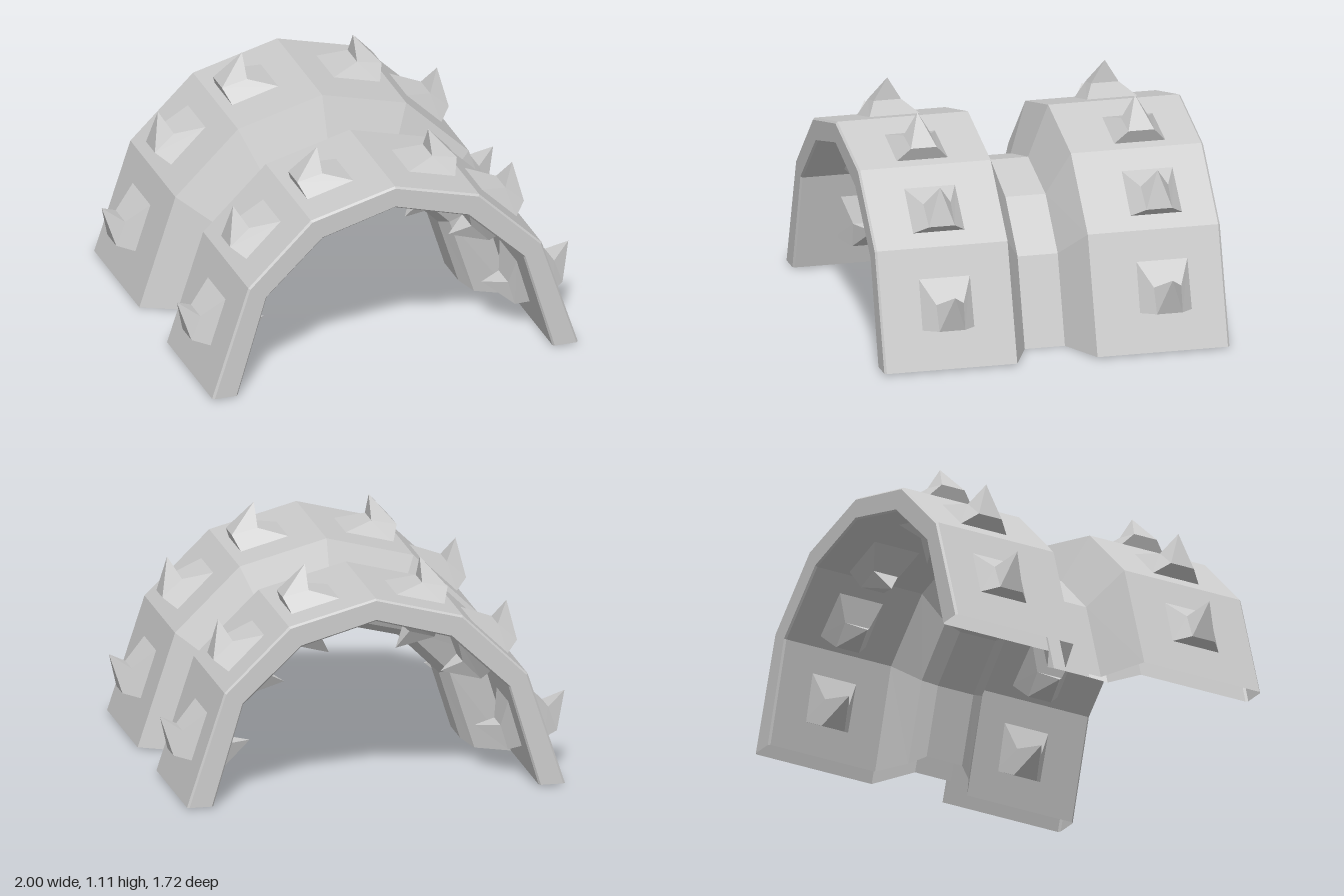
import * as THREE from 'three';

const material = new THREE.MeshStandardMaterial({
  color: 0xcccccc, flatShading: true, side: THREE.DoubleSide,
});

// Half arches from the foot up to the crown: [x, y]
const WIDE_OUTER = [[0.935, 0.012], [0.75, 0.575], [0.43, 0.887], [0, 1]];
const WIDE_INNER = [[0.805, 0.012], [0.657, 0.513], [0.37, 0.784], [0, 0.888]];
const NECK_OUTER = [[0.697, 0.004], [0.56, 0.43], [0.33, 0.66], [0, 0.745]];
const NECK_SHOULDER = [[0.645, 0.012], [0.52, 0.405], [0.3, 0.625], [0, 0.7]];
const NECK_INNER = [[0.59, 0.045], [0.485, 0.38], [0.28, 0.585], [0, 0.655]];

const fullArch = (half) => [...half, ...half.slice(0, -1).reverse().map(([x, y]) => [-x, y])];

// Non-indexed geometry from a list of quads and triangles
function fromFaces(faces) {
  const out = [];
  for (const f of faces) {
    for (let i = 1; i < f.length - 1; i++) out.push(...f[0], ...f[i], ...f[i + 1]);
  }
  const geometry = new THREE.BufferGeometry();
  geometry.setAttribute('position', new THREE.Float32BufferAttribute(out, 3));
  geometry.computeVertexNormals();
  return geometry;
}

// Hollow double wall, open at the feet: a closed ring of stations along z, carried round the arch
function shellGeometry() {
  const outer = fullArch(WIDE_OUTER);
  const inner = fullArch(WIDE_INNER);
  const blend = (t) => outer.map(([x, y], a) => [
    x + (inner[a][0] - x) * t, y + (inner[a][1] - y) * t,
  ]);
  const outside = [[0.86, blend(0.08)], [0.85, outer], [0.2, outer], [0.1, fullArch(NECK_OUTER)]];
  const inside = [
    [0.86, blend(0.93)], [0.85, inner], [0.26, inner],
    [0.17, fullArch(NECK_SHOULDER)], [0.1, fullArch(NECK_INNER)],
  ];
  const flip = (list) => list.map(([z, arch]) => [-z, arch]);
  const ring = [
    ...flip(outside), ...[...outside].reverse(),
    ...inside, ...flip(inside).reverse(),
  ];
  const P = (a, k) => {
    const [z, arch] = ring[k % ring.length];
    return [...arch[a], z];
  };
  const faces = [];
  for (let a = 0; a < outer.length - 1; a++) {
    for (let k = 0; k < ring.length; k++) {
      faces.push([P(a, k), P(a + 1, k), P(a + 1, k + 1), P(a, k + 1)]);
    }
  }
  return fromFaces(faces);
}

// Spike: a tapered block with a pointed tip; x leads out of the wall, y up along it
function spikeGeometry() {
  const corners = (xt, yt, xb, yb, wt, wb) =>
    [[xt, yt, wt], [xt, yt, -wt], [xb, yb, -wb], [xb, yb, wb]];
  const base = corners(-0.004, 0.132, -0.004, -0.117, 0.128, 0.13);
  const front = corners(0.068, 0, 0.072, -0.13, 0.068, 0.064);
  const tip = [0.178, 0.026, 0];
  const faces = [base];
  for (let i = 0; i < 4; i++) {
    const j = (i + 1) % 4;
    faces.push([base[i], front[i], front[j], base[j]], [front[j], front[i], tip]);
  }
  return fromFaces(faces);
}

export function createModel() {
  const model = new THREE.Group();
  model.name = 'spikedArch';

  const shell = new THREE.Mesh(shellGeometry(), material);
  shell.name = 'archShell';
  model.add(shell);

  // Three spikes per side and band, each with a twin on the inside of the wall
  const spike = spikeGeometry();
  const seats = [[0.84, 0.31, 0], [0.608, 0.716, 1], [0.264, 0.931, 2]];
  const thickness = 0.112;
  for (const side of [1, -1]) {
    const group = new THREE.Group();
    group.name = side > 0 ? 'leftSpikes' : 'rightSpikes';
    if (side < 0) group.rotation.y = Math.PI;
    for (const z of [0.527, -0.557]) {
      for (const [x, y, facet] of seats) {
        const [x0, y0] = WIDE_OUTER[facet];
        const [x1, y1] = WIDE_OUTER[facet + 1];
        const angle = Math.atan2(y1 - y0, x1 - x0) - Math.PI / 2;
        for (const inside of [false, true]) {
          const mesh = new THREE.Mesh(spike, material);
          mesh.name = inside ? 'innerSpike' : 'outerSpike';
          const d = inside ? thickness : 0;
          mesh.position.set(x - d * Math.cos(angle), y - d * Math.sin(angle), z * side);
          mesh.rotation.set(0, inside ? Math.PI : 0, angle, 'ZYX');
          group.add(mesh);
        }
      }
    }
    model.add(group);
  }
  return model;
}
